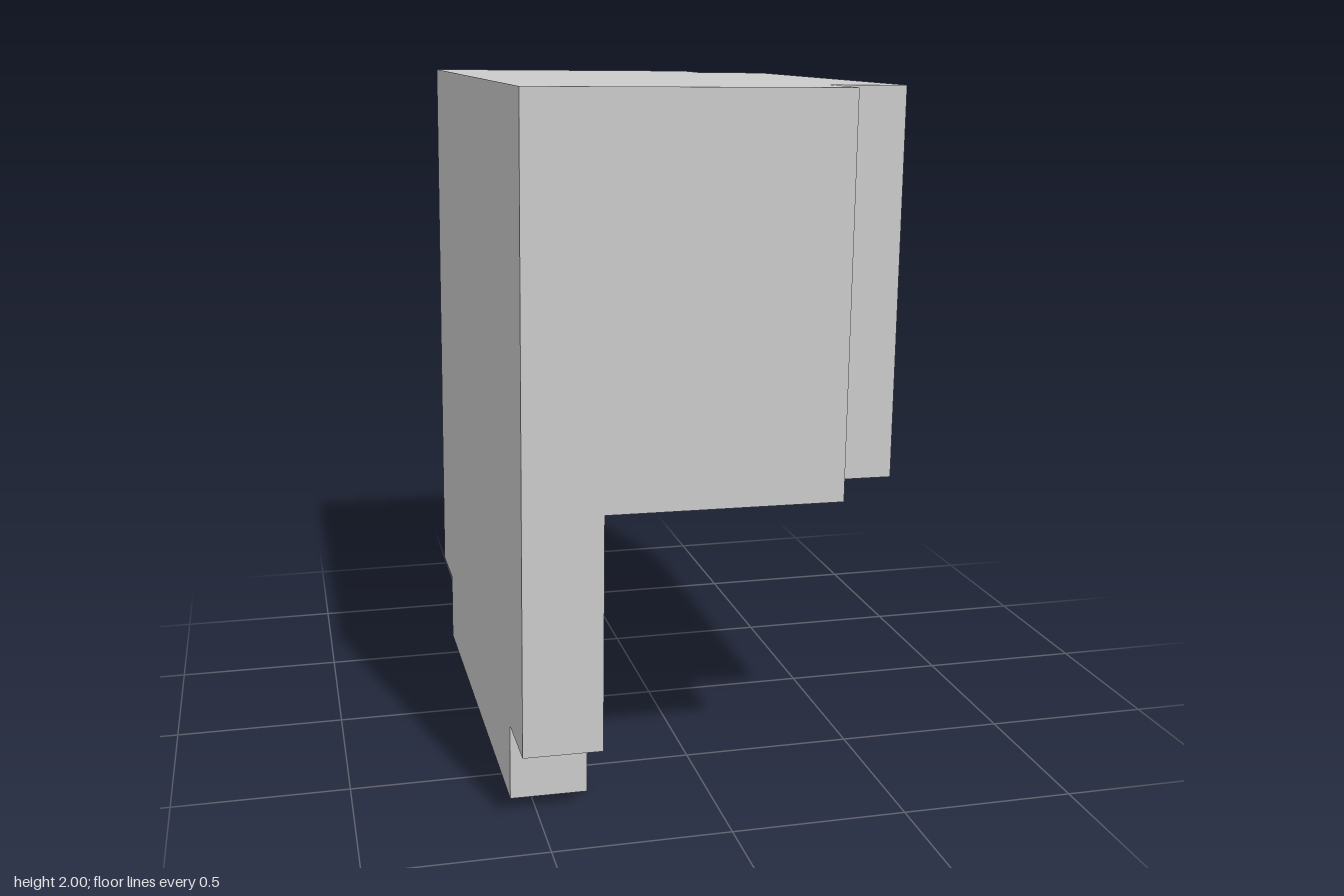
import * as THREE from 'three';

const U = 0.2219; // modular unit: the body is 5 x 9 x 8 units

// Flat outline (in units) extruded by a depth (in units)
function extrude(points, depth) {
  const shape = new THREE.Shape(points.map(([a, b]) => new THREE.Vector2(a * U, b * U)));
  return new THREE.ExtrudeGeometry(shape, { depth: depth * U, bevelEnabled: false });
}

export function createModel() {
  const group = new THREE.Group();
  const material = new THREE.MeshStandardMaterial({ color: 0xcccccc, flatShading: true });

  // Full-height slab with a narrower tab at its foot
  const slab = new THREE.Mesh(
    extrude([[-3, -4.5], [3, -4.5], [3, -3.5], [4, -3.5], [4, 4.5],
      [-4, 4.5], [-4, -3.5], [-3, -3.5]], 1).rotateY(Math.PI / 2),
    material);
  slab.name = 'sideSlab';
  slab.position.x = -2.5 * U;

  // Overhanging upper block with notched outer corners
  const block = new THREE.Mesh(
    extrude([[-1.5, -4], [1.5, -4], [1.5, -3], [2.5, -3], [2.5, 3],
      [1.5, 3], [1.5, 4], [-1.5, 4]], 5).rotateX(-Math.PI / 2),
    material);
  block.name = 'upperBlock';
  block.position.y = -0.5 * U;

  // The whole piece leans very slightly
  const body = new THREE.Group();
  body.name = 'body';
  body.add(slab, block);
  body.rotation.set(0, 0.0075, -0.0115);
  body.position.y = 0.995;
  group.add(body);
  return group;
}
